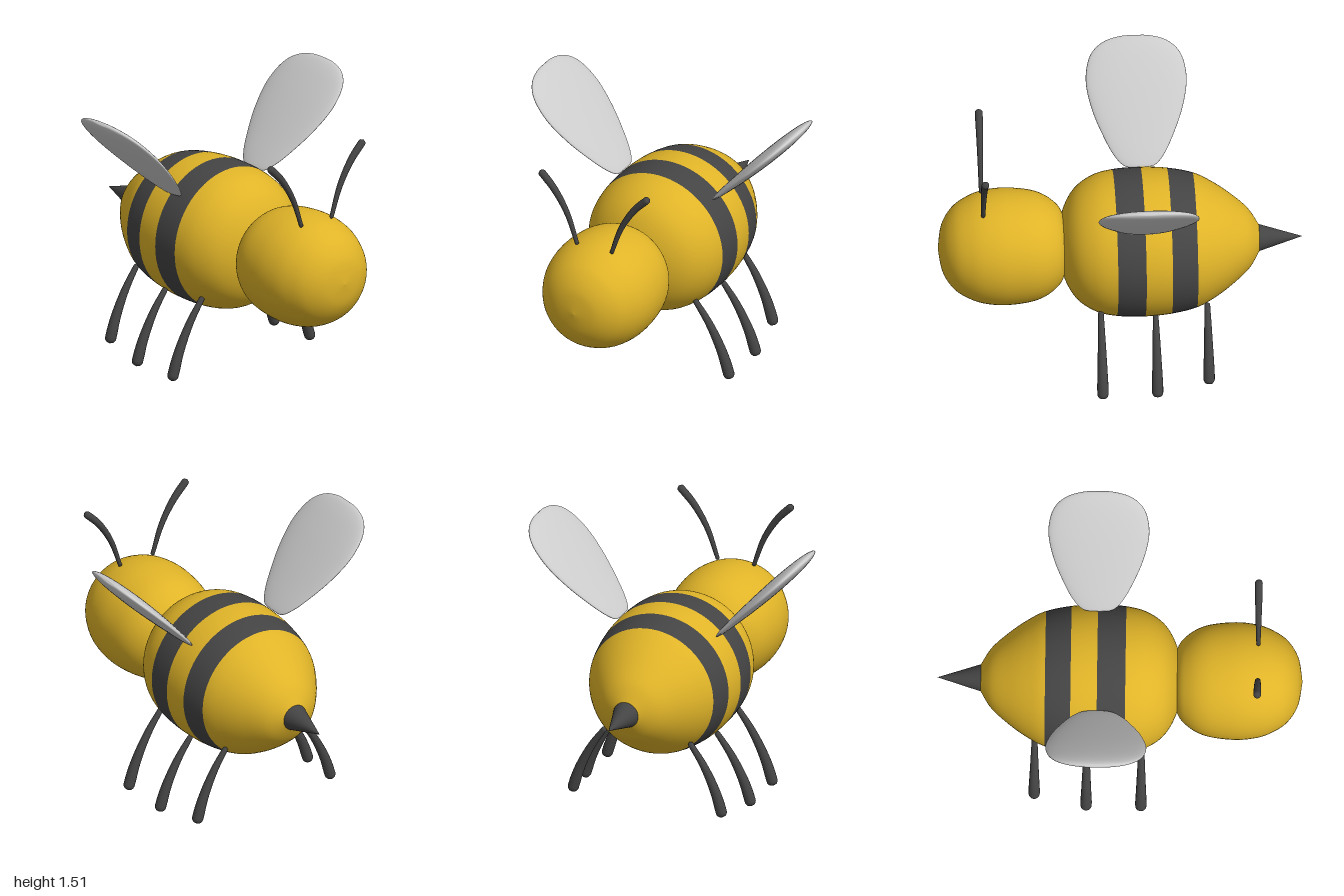
import * as THREE from 'three';
import { mergeVertices } from 'three/addons/utils/BufferGeometryUtils.js';

const AXIS_Y = 0.7; // height of the body's long axis
const yellow = new THREE.MeshStandardMaterial({ color: 0xe0b428 });
const dark = new THREE.MeshStandardMaterial({ color: 0x444444 });
const grey = new THREE.MeshStandardMaterial({ color: 0xcccccc });

const profile = (pts) => new THREE.SplineCurve(pts.map(([r, y]) => new THREE.Vector2(r, y)));

// Lathe of the part of a profile between control points a and b
function latheSpan(curve, a, b, steps = 10, sides = 64) {
  const last = curve.points.length - 1;
  const n = (b - a) * steps;
  const pts = [];
  for (let i = 0; i <= n; i++) {
    const p = curve.getPoint((a + (i / n) * (b - a)) / last);
    p.x = Math.max(p.x, 0);
    pts.push(p);
  }
  return new THREE.LatheGeometry(pts, sides);
}

// Curved limb with a tapering radius and rounded ends
function limb(points, r0, r1) {
  const curve = new THREE.CatmullRomCurve3(points.map((p) => new THREE.Vector3(...p)));
  const rows = 60, sides = 14, len = curve.getLength();
  const geo = new THREE.TubeGeometry(curve, rows, 1, sides);
  const pos = geo.attributes.position;
  const v = new THREE.Vector3();
  for (let i = 0; i <= rows; i++) {
    const u = i / rows, c = curve.getPointAt(u);
    const r = r0 + (r1 - r0) * Math.min(1, u / 0.85);
    const k = Math.max(0, 1 - Math.min(u, 1 - u) * len / r);
    const radius = r * Math.sqrt(1 - k * k);
    for (let j = 0; j <= sides; j++) {
      const id = i * (sides + 1) + j;
      v.fromBufferAttribute(pos, id).sub(c).multiplyScalar(radius).add(c);
      pos.setXYZ(id, v.x, v.y, v.z);
    }
  }
  geo.deleteAttribute('uv');
  geo.deleteAttribute('normal');
  const merged = mergeVertices(geo, 1e-5);
  merged.computeVertexNormals();
  return merged;
}

export function createModel() {
  const model = new THREE.Group();
  const add = (parent, name, geo, mat) => {
    const mesh = new THREE.Mesh(geo, mat);
    mesh.name = name;
    parent.add(mesh);
    return mesh;
  };
  const alongX = (geo) => geo.rotateZ(-Math.PI / 2).translate(0, AXIS_Y, 0);

  // Abdomen: one profile cut into yellow and dark bands
  const body = new THREE.Group();
  body.name = 'body';
  model.add(body);
  const bodyCurve = profile([
    [0.07, -0.765], [0.165, -0.705], [0.25, -0.61], [0.32, -0.51], [0.37, -0.41], [0.4, -0.27],
    [0.41, -0.125], [0.402, 0.03], [0.37, 0.15], [0.295, 0.25], [0.17, 0.315], [0, 0.35],
  ]);
  [['tailBand', 0, 4, yellow], ['rearStripe', 4, 5, dark], ['middleBand', 5, 6, yellow],
    ['frontStripe', 6, 7, dark], ['chestBand', 7, 11, yellow]].forEach(([name, a, b, mat]) =>
    add(body, name, alongX(latheSpan(bodyCurve, a, b)), mat));

  // Head
  const headCurve = profile([
    [0, 0.28], [0.17, 0.31], [0.25, 0.37], [0.302, 0.47], [0.322, 0.62], [0.312, 0.74],
    [0.282, 0.83], [0.225, 0.915], [0.13, 0.975], [0, 0.998],
  ]);
  add(model, 'head', alongX(latheSpan(headCurve, 0, 9)), yellow);

  // Stinger
  const stinger = add(model, 'stinger', new THREE.ConeGeometry(0.075, 0.24, 32), dark);
  stinger.rotation.z = Math.PI / 2;
  stinger.position.set(-0.88, AXIS_Y, 0);

  // Flattened wing shape, root at the origin, growing up +y
  const wingCurve = profile([
    [0, 0], [0.08, 0.005], [0.14, 0.07], [0.195, 0.18], [0.245, 0.31], [0.275, 0.45],
    [0.268, 0.56], [0.235, 0.64], [0.17, 0.695], [0.08, 0.722], [0, 0.725],
  ]);
  const wingGeo = latheSpan(wingCurve, 0, 10, 6, 48).scale(1, 1, 0.13);

  // Legs: x, start [y, z], end [y, z]
  const legs = [
    ['frontLeg', 0.12, [0.445, 0.275], [0.005, 0.5]],
    ['middleLeg', -0.18, [0.415, 0.285], [0.005, 0.5]],
    ['rearLeg', -0.465, [0.46, 0.25], [0.045, 0.45]],
  ];

  for (const s of [1, -1]) {
    const side = s > 0 ? 'Near' : 'Far';

    const wing = add(model, 'wing' + side, wingGeo, grey);
    wing.position.set(-0.125, 0.99, s * 0.295);
    wing.rotation.x = s * 0.77;

    for (const [name, x, [y0, z0], [y1, z1]] of legs) {
      const at = (t, u) => [x, y0 + (y1 - y0) * t, s * (z0 + (z1 - z0) * u)];
      add(model, name + side, limb([at(0, 0), at(0.3, 0.42), at(0.65, 0.77), at(1, 1)], 0.015, 0.031), dark);
    }

    add(model, 'antenna' + side, limb([
      [0.755, 0.99, s * 0.105], [0.755, 1.17, s * 0.17],
      [0.755, 1.3, s * 0.25], [0.755, 1.395, s * 0.34],
    ], 0.011, 0.021), dark);
  }
  return model;
}
